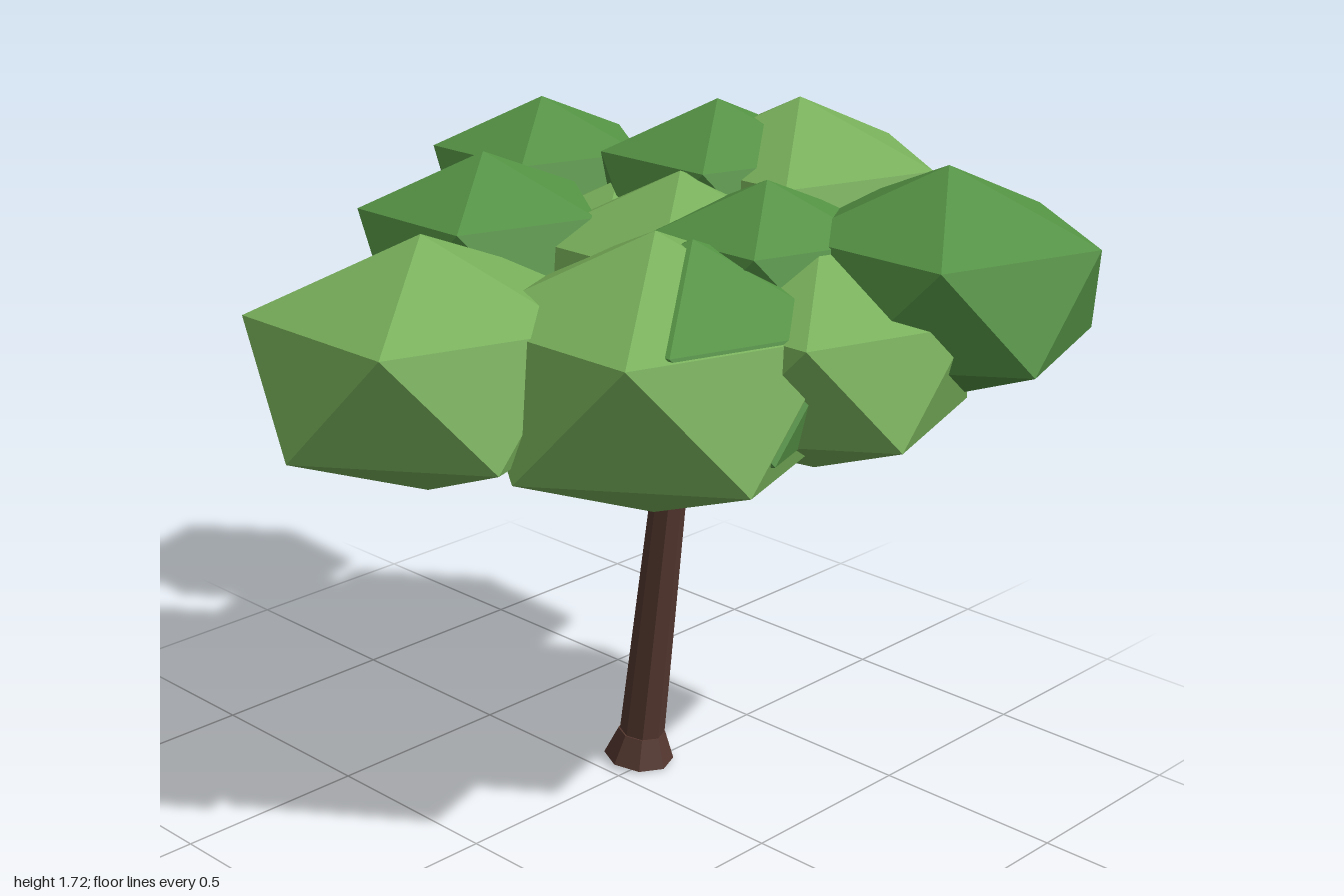
import * as THREE from 'three';

const material = (color, extra = {}) => new THREE.MeshStandardMaterial({ color, flatShading: true, ...extra });

// Tapered round limb between two points
function limb(name, from, to, r0, r1, sides, mat) {
  const a = new THREE.Vector3(...from), b = new THREE.Vector3(...to);
  const dir = b.clone().sub(a);
  const mesh = new THREE.Mesh(new THREE.CylinderGeometry(r1, r0, dir.length(), sides), mat);
  mesh.position.copy(a).add(b).multiplyScalar(0.5);
  mesh.quaternion.setFromUnitVectors(new THREE.Vector3(0, 1, 0), dir.normalize());
  mesh.name = name;
  return mesh;
}

export function createModel() {
  const tree = new THREE.Group();
  tree.name = 'tree';
  const bark = material(0x54372f);
  const lightLeaf = material(0x78b05a);
  const darkLeaf = material(0x549244);

  // Leaning trunk with a flared foot
  const fork = [0.15, 0.95, 0.055];
  tree.add(limb('trunk', [0.112, 0.03, -0.03], fork, 0.06, 0.042, 8, bark));
  tree.add(limb('trunkFoot', [0.11, 0.004, -0.034], [0.113, 0.08, -0.026], 0.092, 0.062, 8, bark));

  // Branches spreading from the fork
  const start = [0.15, 0.935, 0.054];
  const ends = [
    [0.47, 1.19, 0.025],
    [0.31, 1.13, 0.32],
    [0.24, 1.04, -0.17],
    [0.01, 1.03, 0.06],
  ];
  ends.forEach((end) => tree.add(limb('branch', start, end, 0.036, 0.022, 6, bark)));

  // Icosahedron turned to stand on a vertex, scaled so its rings have radius 1
  const clump = new THREE.IcosahedronGeometry(1, 0);
  clump.rotateZ(-Math.atan2(1, (1 + Math.sqrt(5)) / 2));
  const ring = 2 / Math.sqrt(5);
  clump.scale(1 / ring, 0.76, 1 / ring);

  // Leaf clumps: x, y, z, ring radius, leaf
  const clumps = [
    [0.43, 1.393, -0.72, 0.295, darkLeaf],
    [0.437, 1.375, 0.643, 0.373, darkLeaf],
    [0.569, 1.44, 0.073, 0.36, lightLeaf],
    [0.42, 1.486, -0.07, 0.295, darkLeaf],
    [-0.12, 1.384, -0.347, 0.31, darkLeaf],
    [-0.523, 1.221, -0.116, 0.411, lightLeaf],
    [-0.157, 1.202, 0.273, 0.452, lightLeaf],
    [0.147, 1.232, 0.508, 0.367, lightLeaf],
    [-0.104, 1.235, 0.34, 0.385, darkLeaf],
    [0.167, 1.402, 0.322, 0.28, darkLeaf],
    [0.195, 1.26, -0.2, 0.34, lightLeaf],
    [0.16, 1.31, 0.05, 0.37, lightLeaf],
  ];
  for (const [x, y, z, r, leaf] of clumps) {
    const mesh = new THREE.Mesh(clump, leaf);
    mesh.name = 'leafClump';
    mesh.position.set(x, y, z);
    mesh.scale.setScalar(r);
    tree.add(mesh);
  }
  return tree;
}
